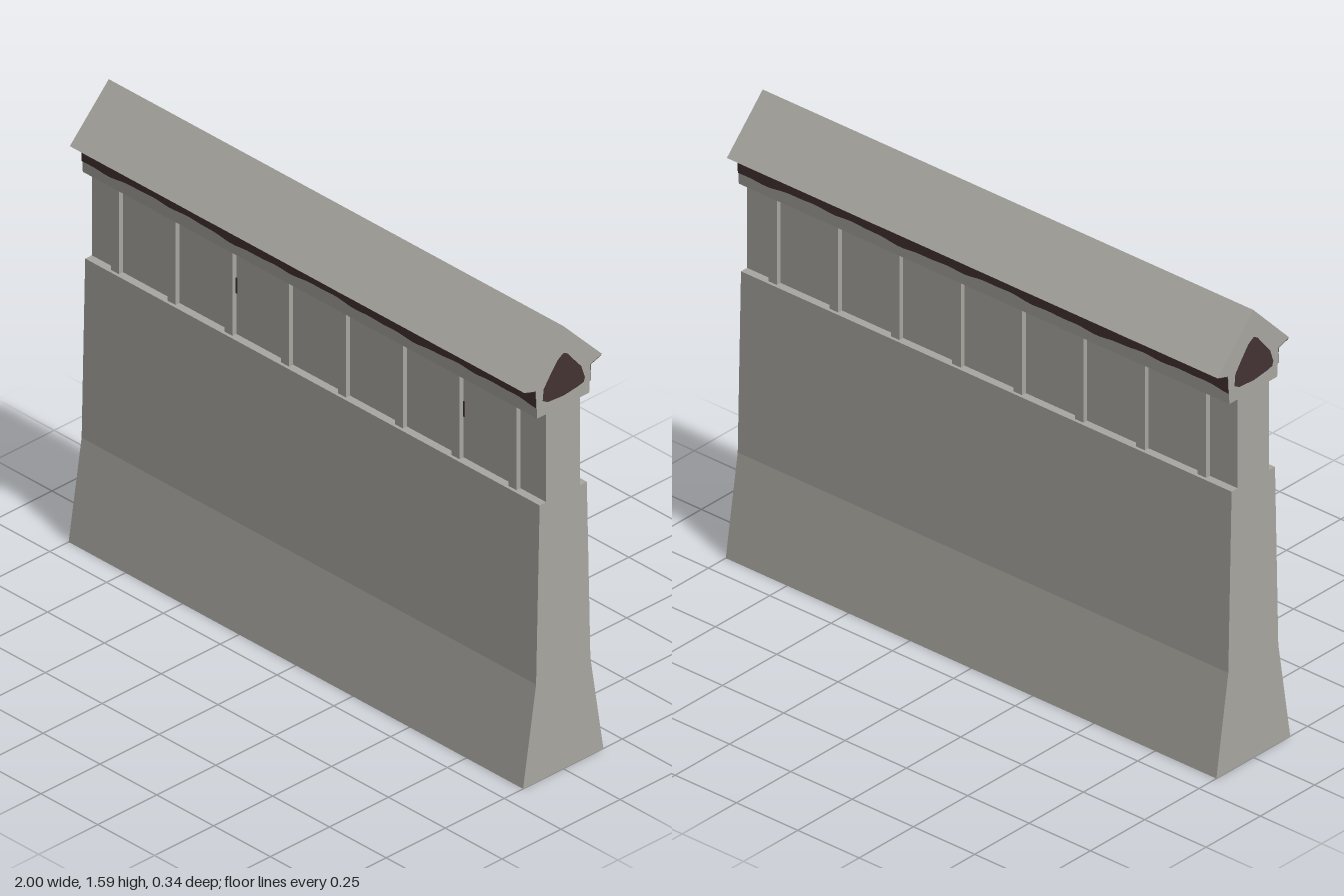
import * as THREE from 'three';

const stone = new THREE.MeshStandardMaterial({ name: 'greyStone', color: 0xa8a69f, side: THREE.DoubleSide });
const brown = new THREE.MeshStandardMaterial({ name: 'darkBrown', color: 0x443333, side: THREE.DoubleSide });

// Cross-section of one side as [z, y], from the ground to the ridge
const profile = [
  [0.17, 0], [0.115, 0.35], [0.1, 0.985], [0.072, 0.985], [0.072, 1.3],
  [0.11, 1.3], [0.116, 1.4], [0.165, 1.415], [0, 1.585],
];
const names = ['batteredFoot', 'wallFace', 'ledge', 'recessedPanel', 'friezeUnderside', 'frieze', 'eaveUnderside', 'roofSlope'];

// Flat band along x between two edges, each given as a function x -> [z, y]
function band(lower, upper, steps) {
  const pos = [];
  for (let i = 0; i < steps; i++) {
    const x0 = -1 + (2 * i) / steps, x1 = -1 + (2 * (i + 1)) / steps;
    const at = (edge, x) => { const [z, y] = edge(x); return [x, y, z]; };
    const a = at(lower, x0), b = at(lower, x1), c = at(upper, x1), d = at(upper, x0);
    pos.push(...a, ...b, ...c, ...a, ...c, ...d);
  }
  const geo = new THREE.BufferGeometry();
  geo.setAttribute('position', new THREE.Float32BufferAttribute(pos, 3));
  geo.computeVertexNormals();
  return geo;
}

function add(group, name, geo, mat) {
  const mesh = new THREE.Mesh(geo, mat);
  mesh.name = name;
  group.add(mesh);
  return mesh;
}

const wave = (x) => 0.5 * Math.sin(x * 9 + 1) + 0.3 * Math.sin(x * 23) + 0.2 * Math.sin(x * 47 + 2);

// Point between two profile points, lifted off the surface
function between(p, q, t, lift) {
  const dz = q[0] - p[0], dy = q[1] - p[1], len = Math.hypot(dz, dy);
  return [p[0] + dz * t + (dy / len) * lift, p[1] + dy * t - (dz / len) * lift];
}

// One long face with its pilasters, paint and the end wall on its right
function createHalf() {
  const half = new THREE.Group();
  names.forEach((name, i) => add(half, name, band(() => profile[i], () => profile[i + 1], 1), stone));

  // Pilasters in the recess
  for (let i = 0; i < 8; i++) {
    const box = new THREE.BoxGeometry(0.035, 0.315, 0.03);
    add(half, 'pilaster', box, stone).position.set(-0.881 + i * 0.25, 1.1425, 0.074);
  }

  // Ragged brown paint on the frieze and below the eave
  const [f0, f1, e1] = [profile[5], profile[6], profile[7]];
  add(half, 'friezePaint', band(
    (x) => between(f0, f1, 0.44 + 0.09 * wave(x), 0.002),
    () => between(f0, f1, 1, 0.002), 80), brown);
  add(half, 'eavePaint', band(
    () => between(f1, e1, 0, 0.002),
    (x) => between(f1, e1, Math.min(0.98, 0.86 + 0.2 * wave(x * 1.3 + 2)), 0.002), 80), brown);

  // End wall, closed down to the open foot
  const outline = [...profile, ...profile.slice(0, -1).reverse().map(([z, y]) => [-z, y])];
  const end = add(half, 'endWall', new THREE.ShapeGeometry(new THREE.Shape(outline.map((p) => new THREE.Vector2(...p)))), stone);
  end.rotation.y = Math.PI / 2;
  end.position.x = 1;

  // Brown patch in the gable
  const patch = [
    [0, 1.49], [-0.025, 1.475], [-0.06, 1.43], [-0.085, 1.395], [-0.089, 1.355], [-0.067, 1.342],
    [0, 1.337], [0.06, 1.344], [0.085, 1.35], [0.09, 1.365], [0.075, 1.41], [0.033, 1.46], [0.018, 1.48],
  ];
  const gable = add(half, 'gablePatch', new THREE.ShapeGeometry(new THREE.Shape(patch.map((p) => new THREE.Vector2(...p)))), brown);
  gable.rotation.y = Math.PI / 2;
  gable.position.x = 1.002;
  return half;
}

export function createModel() {
  const model = new THREE.Group();
  model.name = 'wall';
  const front = createHalf();
  front.name = 'frontHalf';
  const back = createHalf();
  back.name = 'backHalf';
  back.rotation.y = Math.PI;
  model.add(front, back);

  // Small dark stains beside two front pilasters
  for (const x of [-0.363, 0.637]) {
    add(model, 'stain', new THREE.BoxGeometry(0.01, 0.055, 0.004), brown).position.set(x, 1.16, 0.073);
  }
  return model;
}
